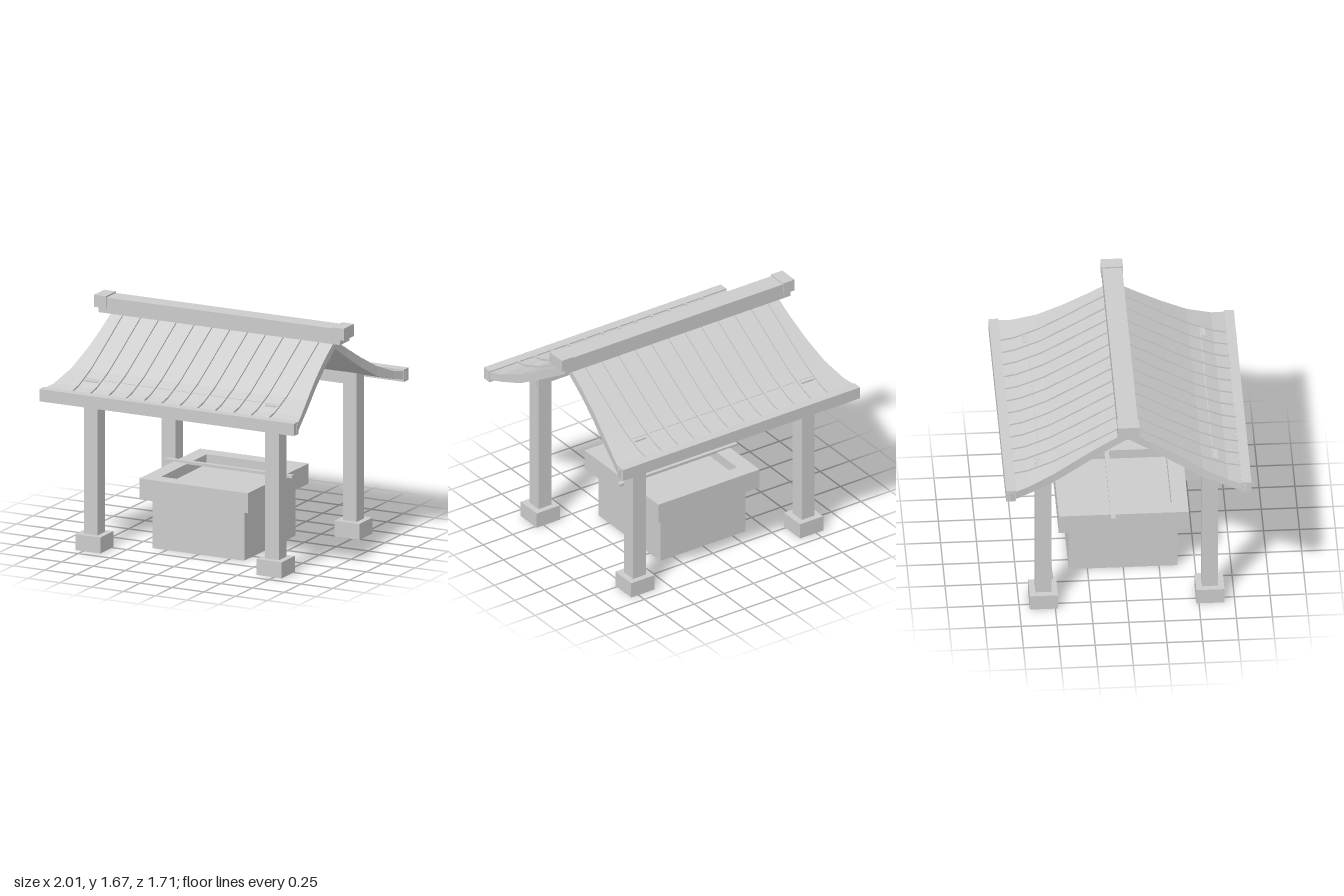
import * as THREE from 'three';

export function createModel() {
  const model = new THREE.Group();
  const stone = new THREE.MeshStandardMaterial({ color: 0xcccccc });
  stone.name = 'plain grey';

  const add = (name, geometry) => {
    const mesh = new THREE.Mesh(geometry, stone);
    mesh.name = name;
    model.add(mesh);
    return mesh;
  };
  // Box given by its lowest and highest corners
  const box = (name, x0, x1, y0, y1, z0, z1) =>
    add(name, new THREE.BoxGeometry(x1 - x0, y1 - y0, z1 - z0))
      .position.set((x0 + x1) / 2, (y0 + y1) / 2, (z0 + z1) / 2);

  // Slab lofted along z from [z, bottom, top, halfWidth] stations
  const loft = (stations) => {
    const points = [], index = [];
    stations.forEach(([z, y0, y1, w], i) => {
      points.push(-w, y0, z, w, y0, z, w, y1, z, -w, y1, z);
      if (i === 0) return;
      const a = (i - 1) * 4, b = i * 4;
      for (let k = 0; k < 4; k++) {
        const n = (k + 1) % 4;
        index.push(a + k, a + n, b + n, a + k, b + n, b + k);
      }
    });
    const e = (stations.length - 1) * 4;
    index.push(0, 2, 1, 0, 3, 2, e, e + 1, e + 2, e, e + 2, e + 3);
    const geometry = new THREE.BufferGeometry();
    geometry.setAttribute('position', new THREE.Float32BufferAttribute(points, 3));
    geometry.setIndex(index);
    const flat = geometry.toNonIndexed();
    flat.computeVertexNormals();
    return flat;
  };

  // Well: body, hollow rim, sunken floor and a pole laid across
  box('wellBody', -0.36, 0.36, 0, 0.37, -0.38, 0.38);
  const rectangle = (Type, w, d) => new Type([[-w, -d], [w, -d], [w, d], [-w, d]]
    .map(([x, y]) => new THREE.Vector2(x, y)));
  const rim = rectangle(THREE.Shape, 0.427, 0.453);
  rim.holes.push(rectangle(THREE.Path, 0.315, 0.34));
  add('wellRim', new THREE.ExtrudeGeometry(rim, { depth: 0.144, bevelEnabled: false })
    .rotateX(-Math.PI / 2)).position.y = 0.367;
  box('wellFloor', -0.32, 0.32, 0.369, 0.44, -0.345, 0.345);
  box('dipperPole', -0.492, 0.502, 0.505, 0.525, -0.092, -0.06);

  // Posts on footings
  for (const sx of [-1, 1]) {
    for (const sz of [-1, 1]) {
      const x = sx * 0.7125, z = sz * 0.58;
      box('footing', x - 0.098, x + 0.098, 0, 0.115, z - 0.098, z + 0.098);
      box('post', x - 0.054, x + 0.054, 0.11, 1.221, z - 0.056, z + 0.056);
    }
  }

  // Beams across the post tops and along the eaves
  for (const s of [-1, 1]) {
    const span = (name, w, y0, y1, za, zb) =>
      box(name, -w, w, y0, y1, Math.min(s * za, s * zb), Math.max(s * za, s * zb));
    span('crossBeam', 0.769, 1.092, 1.226, 0.55, 0.606);
    span('eaveBeam', 1, 1.09, 1.178, 0.785, 0.855);
  }

  // Sagging slope as [z, bottom, top], mirrored from ridge to both eaves
  const half = [[0, 1.5, 1.56], [0.17, 1.395, 1.461], [0.34, 1.289, 1.36],
    [0.52, 1.187, 1.258], [0.695, 1.129, 1.187], [0.82, 1.1, 1.162]];
  const slope = [...half.slice(1).reverse().map(([z, a, b]) => [-z, a, b]), ...half];

  // Roof slab, flaring towards the eaves
  add('roof', loft(slope.map(([z, a, b]) => [z, a, b, 0.873 + 0.2 * z * z])));

  // Thin battens following the slope
  const batten = loft(slope.map(([z, , b]) => [z, b - 0.02, b + 0.012, 0.008]));
  for (let i = 0; i < 12; i++) add('batten', batten).position.x = -0.783 + i * 0.1402;

  // Ridge beam with end blocks
  box('ridgeBeam', -0.95, 0.95, 1.552, 1.665, -0.07, 0.07);
  for (const s of [-1, 1]) {
    const x = s * 0.935;
    box('ridgeEnd', x - 0.0475, x + 0.0475, 1.588, 1.675, -0.076, 0.076);
  }
  return model;
}
